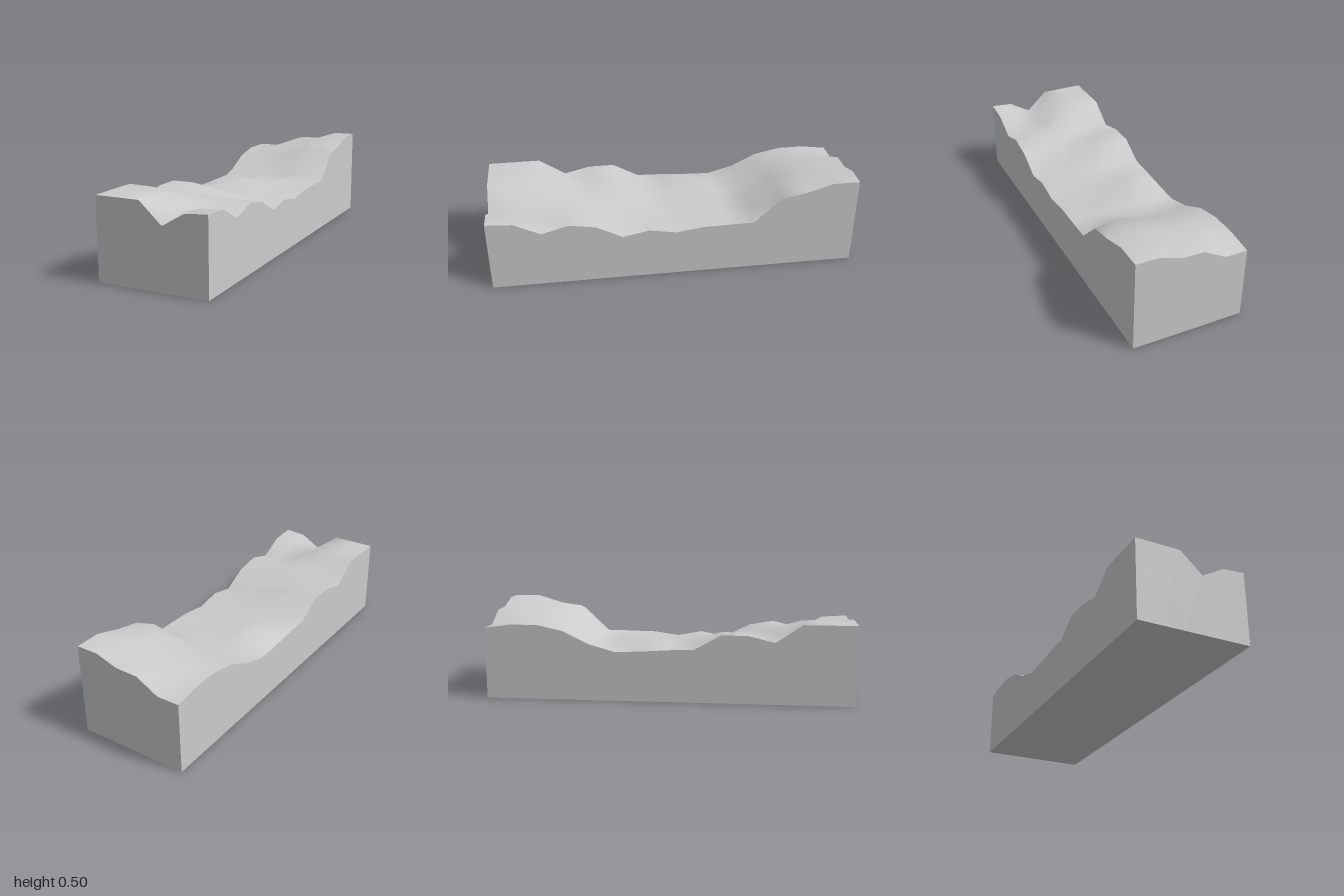
import * as THREE from 'three';

const WIDTH = 0.605, LENGTH = 2;

// Ground heights: one row per step from back (z = -1) to front (z = 1), columns from -x to +x
const HEIGHTS = [
  [0.39, 0.39, 0.457, 0.46, 0.50, 0.50],
  [0.41, 0.414, 0.458, 0.46, 0.495, 0.50],
  [0.41, 0.41, 0.43, 0.457, 0.458, 0.457],
  [0.38, 0.385, 0.39, 0.42, 0.457, 0.428],
  [0.31, 0.305, 0.30, 0.30, 0.31, 0.292],
  [0.27, 0.295, 0.295, 0.30, 0.295, 0.29],
  [0.275, 0.34, 0.32, 0.297, 0.29, 0.287],
  [0.285, 0.30, 0.30, 0.285, 0.28, 0.267],
  [0.29, 0.296, 0.297, 0.295, 0.295, 0.293],
  [0.37, 0.37, 0.35, 0.31, 0.285, 0.265],
  [0.37, 0.36, 0.345, 0.342, 0.34, 0.339],
  [0.335, 0.345, 0.353, 0.362, 0.362, 0.363],
  [0.432, 0.43, 0.42, 0.363, 0.345, 0.322],
  [0.432, 0.432, 0.43, 0.355, 0.386, 0.393],
  [0.432, 0.432, 0.432, 0.322, 0.393, 0.402],
];
const ROWS = HEIGHTS.length - 1, COLS = HEIGHTS[0].length - 1;

const material = new THREE.MeshStandardMaterial({ color: 0xcccccc });

function addPart(group, geometry, name) {
  const mesh = new THREE.Mesh(geometry, material);
  mesh.name = name;
  group.add(mesh);
}

function groundPoint(col, row) {
  return [(col / COLS - 0.5) * WIDTH, HEIGHTS[row][col], (row / ROWS - 0.5) * LENGTH];
}

// Rolling ground: a plane lifted by the height rows, smooth shaded
function groundGeometry() {
  const geometry = new THREE.PlaneGeometry(WIDTH, LENGTH, COLS, ROWS).rotateX(-Math.PI / 2);
  const position = geometry.attributes.position;
  HEIGHTS.flat().forEach((height, i) => position.setY(i, height));
  geometry.computeVertexNormals();
  return geometry;
}

// Flat wall dropped from a run of ground points to y = 0
function wallGeometry(points) {
  const vertices = [];
  for (let i = 0; i < points.length - 1; i++) {
    const a = points[i], b = points[i + 1];
    const a0 = [a[0], 0, a[2]], b0 = [b[0], 0, b[2]];
    vertices.push(...a0, ...b0, ...b, ...a0, ...b, ...a);
  }
  const geometry = new THREE.BufferGeometry();
  geometry.setAttribute('position', new THREE.Float32BufferAttribute(vertices, 3));
  geometry.computeVertexNormals();
  return geometry;
}

export function createModel() {
  const group = new THREE.Group();
  group.name = 'terrainBlock';
  addPart(group, groundGeometry(), 'ground');

  // Walls, each run going left to right as seen from outside
  const cols = [...Array(COLS + 1).keys()], rows = [...Array(ROWS + 1).keys()];
  const front = cols.map((c) => groundPoint(c, ROWS));
  const back = cols.map((c) => groundPoint(c, 0)).reverse();
  const left = rows.map((r) => groundPoint(COLS, r)).reverse();
  const right = rows.map((r) => groundPoint(0, r));
  addPart(group, wallGeometry(front), 'frontWall');
  addPart(group, wallGeometry(back), 'backWall');
  addPart(group, wallGeometry(left), 'leftWall');
  addPart(group, wallGeometry(right), 'rightWall');

  // Flat underside
  addPart(group, new THREE.PlaneGeometry(WIDTH, LENGTH).rotateX(Math.PI / 2), 'underside');
  return group;
}
